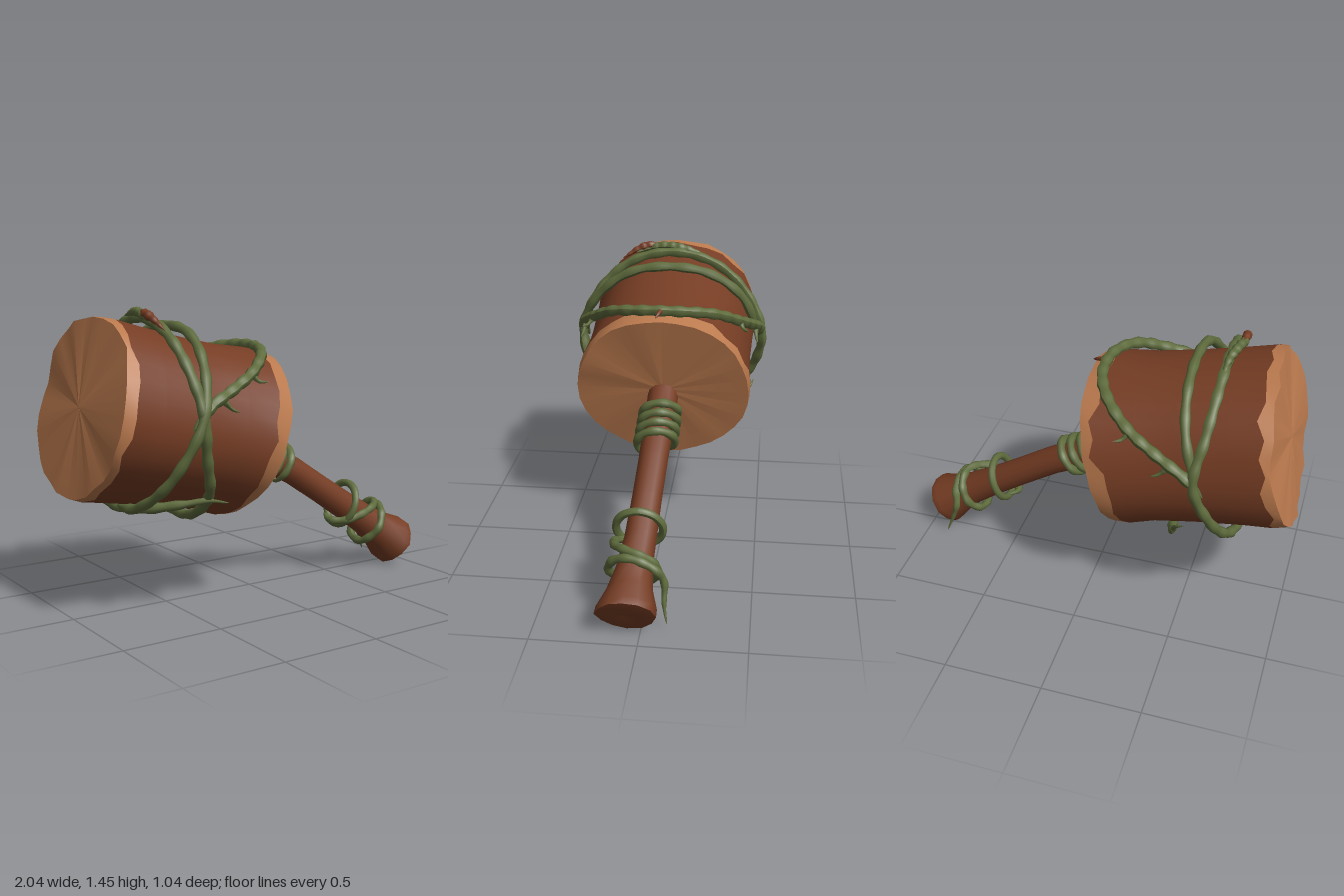
import * as THREE from 'three';

const bark = new THREE.MeshStandardMaterial({ color: 0x763d24 });
bark.name = 'bark';
const wood = new THREE.MeshStandardMaterial({ color: 0xbb7a4e });
wood.name = 'cut wood';
const vine = new THREE.MeshStandardMaterial({ color: 0x5f6c3d });
vine.name = 'vine green';

const V = (x, y, z) => new THREE.Vector3(x, y, z);
const rad = THREE.MathUtils.degToRad;
// repeatable jitter in -1..1
const jitter = (j, seed) => {
  const s = Math.sin(j * 12.9898 + seed * 78.233) * 43758.5453;
  return (s - Math.floor(s)) * 2 - 1;
};

function add(parent, name, geometry, material) {
  const mesh = new THREE.Mesh(geometry, material);
  mesh.name = name;
  parent.add(mesh);
  return mesh;
}

// skin over rings of equal length, each running from +y towards +z
function loft(rings) {
  const n = rings[0].length, index = [];
  for (let i = 0; i < rings.length - 1; i++) {
    for (let j = 0; j < n; j++) {
      const k = (j + 1) % n, a = i * n, b = a + n;
      index.push(a + j, a + k, b + k, a + j, b + k, b + j);
    }
  }
  const g = new THREE.BufferGeometry().setFromPoints(rings.flat());
  g.setIndex(index);
  g.computeVertexNormals();
  return g;
}

// tube through points whose radius tapers over the last (and first) share of its length
function taperTube(points, radius, { start = 0, end = 0, closed = false, steps = 12 } = {}) {
  const curve = new THREE.CatmullRomCurve3(points, closed);
  const segs = points.length * steps, sides = 8;
  const g = new THREE.TubeGeometry(curve, segs, radius, sides, closed);
  const p = g.attributes.position, v = V(0, 0, 0);
  for (let i = 0; i <= segs; i++) {
    const t = i / segs, c = curve.getPointAt(t);
    let k = 1 + (closed ? 0 : 0.1 * Math.sin(i * 0.9));
    if (start) k *= Math.min(1, Math.pow(t / start, 0.7) + 0.01);
    if (end) k *= Math.min(1, Math.pow((1 - t) / end, 0.7) + 0.01);
    for (let j = 0; j <= sides; j++) {
      const q = i * (sides + 1) + j;
      v.fromBufferAttribute(p, q).sub(c).multiplyScalar(k).add(c);
      p.setXYZ(q, v.x, v.y, v.z);
    }
  }
  g.computeVertexNormals();
  return g;
}

// ---- log head, lying along local x ----
function makeHead() {
  const head = new THREE.Group();
  head.name = 'logHead';
  head.position.set(-0.5, 0.92, 0);
  head.rotation.z = -0.21;

  const N = 32;
  const ring = (uAt, rAt) => Array.from({ length: N }, (_, j) => {
    const a = (j / N) * Math.PI * 2, r = rAt(j, a);
    return V(uAt(j, a), r * 0.945 * Math.cos(a), r * Math.sin(a));
  });
  const flat = (x) => () => x;
  const wavy = (r) => (j, a) => r + 0.005 * Math.sin(a * 5 + r * 40);

  // ragged edges where the bark ends and where the log was cut
  const barkLeft = ring((j) => -0.4 + 0.022 * jitter(j, 1), wavy(0.452));
  const rimLeft = ring((j, a) => -0.447 + 0.012 * jitter(j, 2) + 0.012 * Math.sin(a * 3), wavy(0.445));
  const barkRight = ring((j, a) => {
    const d = a * 180 / Math.PI;
    const patch = (d > 285 && d < 320) || (d > 140 && d < 165) ? 0.035 : 0;
    return 0.355 + 0.02 * Math.cos(a) + 0.015 * jitter(j, 3) + patch;
  }, wavy(0.45));
  const rimRight = ring((j, a) => 0.432 + 0.036 * Math.cos(a) + 0.007 * jitter(j, 4), wavy(0.442));

  add(head, 'barkSide', loft([
    barkLeft,
    ring(flat(-0.25), wavy(0.444)),
    ring(flat(0), wavy(0.436)),
    ring(flat(0.2), wavy(0.436)),
    barkRight,
  ]), bark);
  add(head, 'leftCutEdge', loft([rimLeft, barkLeft]), wood);
  add(head, 'rightCutEdge', loft([barkRight, rimRight]), wood);
  add(head, 'leftCutFace', loft([ring(flat(-0.455), flat(0)), rimLeft]), wood);
  add(head, 'rightCutFace', loft([rimRight, ring(flat(0.435), flat(0))]), wood);

  // vines, as [position along log, angle from top, optional radius]
  const onLog = (list) => list.map(([u, deg, r = 0.482]) =>
    V(u, r * 0.95 * Math.cos(rad(deg)), r * Math.sin(rad(deg))));
  add(head, 'longVine', taperTube(onLog([
    [0.08, 238, 0.5], [0.12, 222, 0.48], [0.17, 195, 0.465], [0.165, 165, 0.465], [0.09, 130], [-0.02, 105],
    [-0.09, 82, 0.495], [-0.16, 55], [-0.205, 28], [-0.218, 0], [-0.205, -28], [-0.16, -55],
    [-0.09, -82, 0.495], [-0.125, -115], [-0.155, -145], [-0.16, -175, 0.465],
    [-0.11, -200, 0.465], [0.0, -217, 0.48], [0.09, -227, 0.5], [0.15, -234, 0.56],
  ]), 0.025, { start: 0.07, end: 0.08 }), vine);
  add(head, 'crossVine', taperTube(onLog([
    [-0.16, 190, 0.462], [-0.165, 160, 0.47], [-0.145, 125], [-0.09, 85, 0.5], [-0.065, 50],
    [-0.06, 20], [-0.06, -20], [-0.065, -50], [-0.09, -85, 0.48],
  ]), 0.024, { start: 0.08, end: 0.06 }), vine);
  add(head, 'archVine', taperTube(onLog([
    [-0.12, 92, 0.47], [-0.06, 78, 0.49], [0.08, 64], [0.21, 50], [0.32, 32], [0.385, 12, 0.465],
    [0.385, -12, 0.465], [0.32, -32], [0.21, -50], [0.08, -64], [-0.06, -78, 0.49], [-0.12, -92, 0.47],
  ]), 0.027, { start: 0.06, end: 0.06 }), vine);
  add(head, 'topSprig', taperTube(onLog([
    [-0.215, -22, 0.5], [-0.23, -8, 0.505], [-0.255, 4, 0.505], [-0.265, 14, 0.5], [-0.24, 24, 0.505],
  ]), 0.022, { start: 0.4, end: 0.3 }), vine);
  add(head, 'driedTip', taperTube(onLog([
    [-0.27, 8, 0.515], [-0.265, 20, 0.515], [-0.235, 33, 0.51],
  ]), 0.022, { start: 0.3, end: 0.6 }), bark);

  // short thorns, mirrored front and back
  for (const s of [1, -1]) {
    [[[0.2, 52 * s], [0.235, 56 * s, 0.485], [0.27, 57 * s, 0.51]],
      [[0.02, 72 * s], [0.07, 76 * s, 0.48], [0.11, 77 * s, 0.485]],
      [[0.08, 126 * s], [0.05, 118 * s, 0.49], [0.0, 114 * s, 0.5]],
    ].forEach((t) => add(head, 'thorn', taperTube(onLog(t), 0.014, { end: 0.9, steps: 4 }), vine));
  }
  add(head, 'archThorn', taperTube(onLog([[0.39, 0, 0.465], [0.43, 1, 0.47], [0.47, 3, 0.46]]),
    0.016, { end: 0.9, steps: 4 }), bark);
  return head;
}

// ---- handle with its coils ----
function makeHandle() {
  const handle = new THREE.Group();
  handle.name = 'handle';
  const axis = [V(-0.2, 0.85, 0), V(-0.05, 0.765, 0), V(0.27, 0.59, 0.01), V(0.62, 0.355, 0.03), V(0.94, 0.13, 0.065)];
  const axisAt = (x) => {
    let i = 0;
    while (i < 3 && x > axis[i + 1].x) i++;
    return axis[i].clone().lerp(axis[i + 1], (x - axis[i].x) / (axis[i + 1].x - axis[i].x));
  };
  const up = V(0.53, 0.85, 0);
  const around = (x, deg, r) => axisAt(x)
    .addScaledVector(up, r * Math.cos(rad(deg)))
    .add(V(0, 0, r * Math.sin(rad(deg))));

  const N = 12;
  const ring = (x, r, rough = 0) => Array.from({ length: N }, (_, j) =>
    around(x, j * 360 / N, r * (1 + rough * jitter(j, 5))));
  const endRing = ring(0.94, 0.135, 0.07);
  add(handle, 'handleShaft', loft([
    ring(-0.18, 0.08), ring(-0.03, 0.078), ring(0.1, 0.077), ring(0.27, 0.073), ring(0.45, 0.073),
    ring(0.62, 0.077), ring(0.75, 0.086), ring(0.84, 0.106, 0.03), ring(0.91, 0.134, 0.06), endRing,
  ]), bark);
  add(handle, 'handleEnd', loft([endRing, ring(0.945, 0.08), ring(0.94, 0)]), bark);

  // tight coil beside the head
  const coil = [];
  for (let i = 0; i <= 32; i++) {
    coil.push(around(-0.01 + 0.21 * (i / 32), -150 + i * 45, 0.094));
  }
  add(handle, 'upperCoil', taperTube(coil, 0.021, { start: 0.06, end: 0.08, steps: 5 }), vine);

  // loose loops near the grip
  const loop = [];
  for (let i = 0; i < 10; i++) {
    const a = i * 36;
    loop.push(around(0.58 - 0.02 * Math.cos(rad(a)), a, 0.112).add(V(0, 0, 0.012)));
  }
  add(handle, 'gripLoop', taperTube(loop, 0.02, { closed: true, steps: 6 }), vine);
  const wrap = [
    [0.56, 215, 0.1], [0.555, 170, 0.115], [0.6, 125, 0.12], [0.65, 85, 0.12], [0.7, 45, 0.115], [0.735, 0, 0.115],
    [0.75, -50, 0.115], [0.76, -100, 0.115], [0.755, -150, 0.115], [0.755, -200, 0.118], [0.755, -260, 0.12],
    [0.75, -310, 0.115], [0.76, -360, 0.115], [0.78, -410, 0.13], [0.8, -445, 0.15],
  ].map((p) => around(...p));
  wrap.push(V(0.84, 0.13, -0.105), V(0.87, 0.05, -0.12));
  add(handle, 'gripVine', taperTube(wrap, 0.021, { start: 0.06, end: 0.16, steps: 8 }), vine);
  return handle;
}

export function createModel() {
  const model = new THREE.Group();
  model.name = 'logHammer';
  model.add(makeHead(), makeHandle());
  return model;
}
